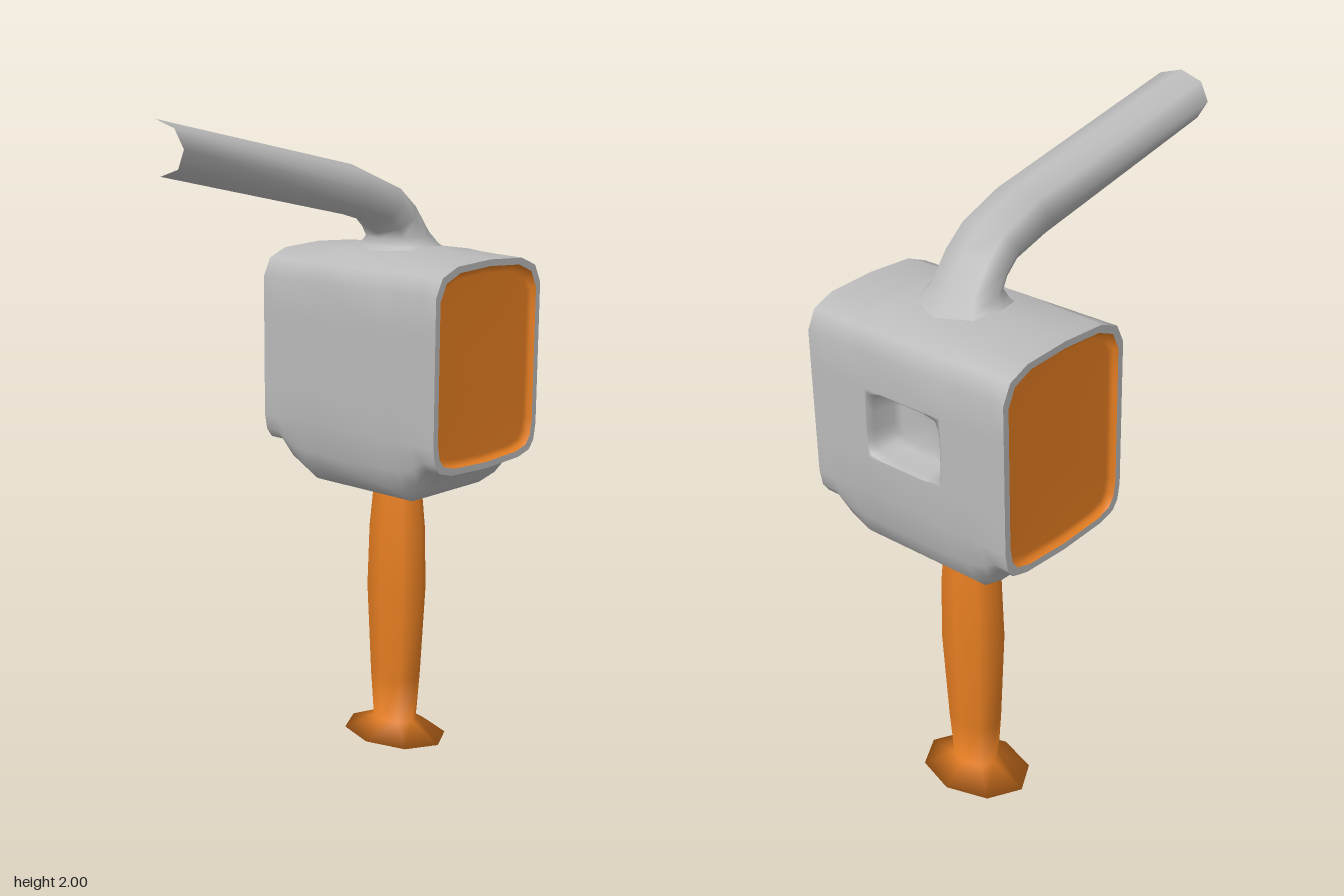
import * as THREE from 'three';

const V = (x, y, z) => new THREE.Vector3(x, y, z);

// Skin a series of closed loops; loops run counter-clockwise around the direction of travel.
function loft(rings, { capStart = false, capEnd = false, skip = () => false } = {}) {
  const n = rings[0].length, pts = rings.flat(), index = [];
  for (let i = 0; i < rings.length - 1; i++) {
    for (let j = 0; j < n; j++) {
      if (skip(i, j)) continue;
      const k = (j + 1) % n, a = i * n + j, b = i * n + k, c = b + n, d = a + n;
      index.push(a, b, c, a, c, d);
    }
  }
  const cap = (start, flip) => {
    const centre = V(0, 0, 0);
    for (let j = 0; j < n; j++) centre.addScaledVector(pts[start + j], 1 / n);
    const m = pts.push(centre) - 1;
    for (let j = 0; j < n; j++) {
      const a = start + j, b = start + (j + 1) % n;
      index.push(...(flip ? [m, b, a] : [m, a, b]));
    }
  };
  const last = (rings.length - 1) * n;
  if (capStart) cap(0, true);
  if (capEnd) cap(last, false);
  const g = new THREE.BufferGeometry().setFromPoints(pts);
  g.setIndex(index);
  g.computeVertexNormals();
  return g;
}

const loop = (n, f) => Array.from({ length: n }, (_, k) => f(k / n * Math.PI * 2));

// Housing cross-section at z: b lowers the belly, t raises the crown.
function section(z, b, t) {
  const right = [
    [0, 0.95 - 0.1 * b], [0.16, 0.957 - 0.107 * b], [0.215 - 0.01 * b, 0.972 - 0.08 * b],
    [0.236 - 0.012 * b, 1.0 - 0.05 * b], [0.245, 1.05], [0.245, 1.17], [0.245, 1.38],
    [0.245, 1.49], [0.217, 1.545], [0.15, 1.572 + t * 0.5], [0, 1.58 + t],
  ];
  const left = right.slice(1, -1).reverse().map(([x, y]) => [-x, y]);
  return [...right, ...left].map(([x, y]) => V(x, y, z));
}

export function createModel() {
  const grey = new THREE.MeshStandardMaterial({ color: 0xbababa });
  grey.name = 'light grey';
  const orange = new THREE.MeshStandardMaterial({ color: 0xe67e22 });
  orange.name = 'orange';

  const model = new THREE.Group();
  model.name = 'handheldTool';
  model.position.x = 0;
  const tool = new THREE.Group();
  tool.name = 'tool';
  tool.position.x = 0.36;
  model.add(tool);
  const add = (name, geometry, material, parent = tool) => {
    const m = new THREE.Mesh(geometry, material);
    m.name = name;
    parent.add(m);
    return m;
  };

  // Housing, with one side cell left open for the pocket
  const stations = [
    [-0.35, 0, 0], [-0.3, 0, 0.004], [-0.26, 0.6, 0.006], [-0.2, 1, 0.012], [-0.13, 1, 0.022],
    [0.145, 1, 0.022], [0.2, 1, 0.012], [0.26, 0.6, 0.006], [0.3, 0, 0.004], [0.35, 0, 0],
  ];
  add('housing', loft(stations.map((s) => section(...s)), {
    skip: (i, j) => i === 4 && j === 5,
  }), grey);

  // Rounded pocket in the side
  const pocketRing = (x, hy, hz, power) => loop(24, (a) => {
    const c = Math.cos(a), s = Math.sin(a);
    const r = power ? (Math.abs(c) ** power + Math.abs(s) ** power) ** (-1 / power)
      : 1 / Math.max(Math.abs(c), Math.abs(s));
    return V(x, 1.275 + hy * c * r, 0.0075 + hz * s * r);
  });
  add('sidePocket', loft([
    pocketRing(0.245, 0.105, 0.1375, 0), pocketRing(0.245, 0.103, 0.135, 7),
    pocketRing(0.225, 0.097, 0.127, 7), pocketRing(0.16, 0.09, 0.118, 6),
    pocketRing(0.145, 0.075, 0.1, 6),
  ], { capEnd: true }), grey);

  // Matching rim and recessed panel at each end
  const inset = (sx, sy, z) => section(z, 0, 0)
    .map((p) => V(p.x * sx, 1.265 + (p.y - 1.265) * sy, z));
  for (const [name, turn] of [['front', 0], ['back', Math.PI]]) {
    const end = new THREE.Group();
    end.name = name + 'End';
    end.rotation.y = turn;
    tool.add(end);
    add(name + 'Rim', loft([inset(1, 1, 0.35), inset(0.918, 0.937, 0.35)]), grey, end);
    add(name + 'Panel', loft([
      inset(0.918, 0.937, 0.35), inset(0.9, 0.92, 0.335), inset(0.84, 0.87, 0.33),
    ], { capEnd: true }), orange, end);
  }

  // Eight-sided bent pipe, open at its tip: x, y, direction, half depth, half thickness
  const pipe = [
    [0, 1.575, 0, 1, 0.17, 0.14], [-0.005, 1.6, 0, 1, 0.135, 0.105],
    [-0.015, 1.63, -0.1, 1, 0.11, 0.082], [-0.055, 1.685, -0.65, 0.75, 0.105, 0.07],
    [-0.11, 1.732, -0.85, 0.5, 0.104, 0.068], [-0.24, 1.777, -0.96, 0.25, 0.104, 0.074],
    [-0.9625, 1.925, -0.995, -0.1, 0.104, 0.075],
  ];
  add('pipe', loft(pipe.map(([x, y, dx, dy, hu, hv]) => {
    const l = Math.hypot(dx, dy);
    return loop(8, (a) => V(
      x + dy / l * hv * Math.sin(a), y - dx / l * hv * Math.sin(a), hu * Math.cos(a)));
  })), grey);

  // Swelling handle with a flared foot: y, half width, half depth
  const grip = [
    [0, 0.14, 0.185], [0.05, 0.062, 0.075], [0.2, 0.07, 0.088], [0.5, 0.08, 0.106],
    [0.7, 0.075, 0.1], [0.86, 0.064, 0.082], [0.92, 0.055, 0.07],
  ];
  add('handle', loft(grip.map(([y, hx, hz]) =>
    loop(8, (a) => V(hx * Math.cos(a), y, -hz * Math.sin(a)))),
  { capStart: true, capEnd: true }), orange);

  return model;
}
